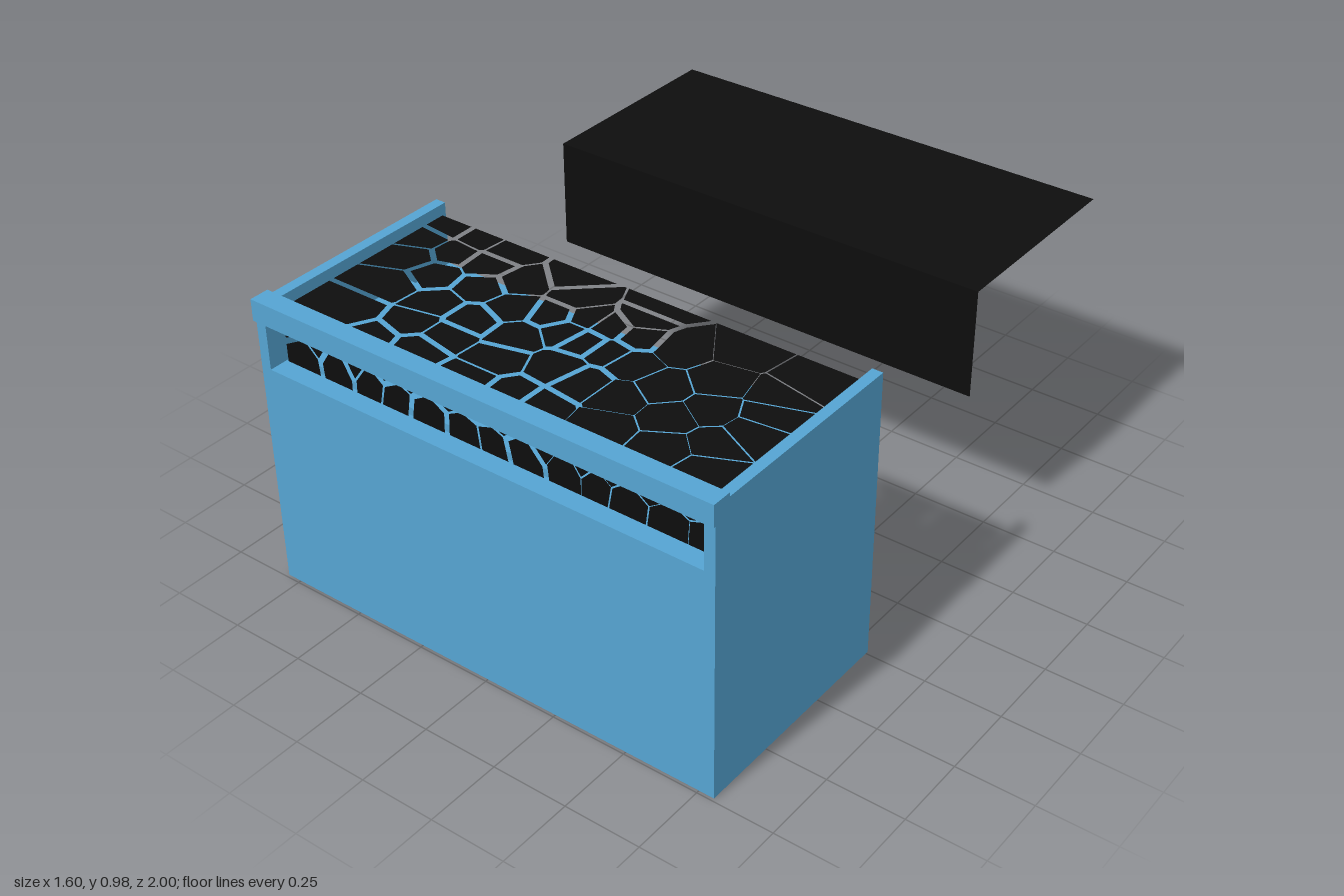
import * as THREE from 'three';

const blue = new THREE.MeshStandardMaterial({ color: 0x55a4d2 });
const black = new THREE.MeshStandardMaterial({ color: 0x0d0d0d, side: THREE.DoubleSide });

// Box given by its minimum and maximum on each axis
function board(name, x0, x1, y0, y1, z0, z1) {
  const mesh = new THREE.Mesh(new THREE.BoxGeometry(x1 - x0, y1 - y0, z1 - z0), blue);
  mesh.position.set((x0 + x1) / 2, (y0 + y1) / 2, (z0 + z1) / 2);
  mesh.name = name;
  return mesh;
}

// Keep the part of a polygon where n . p <= d
function clip(poly, nx, ny, d) {
  const out = [];
  poly.forEach((p, i) => {
    const q = poly[(i + 1) % poly.length];
    const a = p.x * nx + p.y * ny - d, b = q.x * nx + q.y * ny - d;
    if (a <= 0) out.push(p);
    if (a * b < 0) out.push(p.clone().lerp(q, a / (a - b)));
  });
  return out;
}

// Cracked sheet: one cell per seed, with a crack of varying width between cells
function crackedSheet(name, seeds, x0, x1, y0, y1, crack) {
  const group = new THREE.Group();
  group.name = name;
  seeds.forEach((s, i) => {
    let poly = [[x0, y0], [x1, y0], [x1, y1], [x0, y1]].map(p => new THREE.Vector2(...p));
    seeds.forEach((t, j) => {
      if (i === j || poly.length < 3) return;
      const n = t.clone().sub(s), len = n.length();
      n.divideScalar(len);
      const mid = s.clone().add(t).multiplyScalar(0.5);
      poly = clip(poly, n.x, n.y, mid.dot(n) - crack(mid, i + j));
    });
    if (poly.length < 3) return;
    const shard = new THREE.Mesh(new THREE.ShapeGeometry(new THREE.Shape(poly)), black);
    shard.name = 'shard';
    group.add(shard);
  });
  return group;
}

const toPoints = a => a.reduce((r, v, i) => (i % 2 ? r : [...r, new THREE.Vector2(v, a[i + 1])]), []);

// Crack half-width: wide near the middle and left, hairline on the right
function crackWidth(p, k) {
  const wide = p.x < 0.22 ? 0.009 : 0.0025;
  return k % 3 === 0 ? wide * 0.4 : wide;
}

export function createModel() {
  const model = new THREE.Group();
  model.name = 'displayCounter';

  // Cabinet, open at the back
  const cabinet = new THREE.Group();
  cabinet.name = 'cabinet';
  for (const s of [-1, 1]) {
    const side = board('sidePanel', -0.0175, 0.0175, 0, 0.965, 0.24, 0.99);
    side.position.x = s * 0.7825;
    cabinet.add(side);
  }
  cabinet.add(
    board('frontPanel', -0.765, 0.765, 0, 0.755, 0.955, 0.99),
    board('topRail', -0.802, 0.802, 0.91, 0.98, 0.935, 1),
    board('floor', -0.765, 0.765, 0, 0.05, 0.24, 0.955),
    board('middleShelf', -0.765, 0.765, 0.34, 0.37, 0.25, 0.955),
    board('upperShelf', -0.765, 0.765, 0.725, 0.755, 0.24, 0.955),
    board('displayStep', -0.765, 0.765, 0.755, 0.78, 0.42, 0.92)
  );
  model.add(cabinet);

  // Cracked top sheet, seeds as x, z
  const topSeeds = toPoints([
    -0.69, 0.3, -0.57, 0.3, -0.45, 0.31, -0.2, 0.3, 0.1, 0.29, 0.42, 0.33, 0.64, 0.36,
    -0.7, 0.4, -0.58, 0.41, -0.45, 0.4, -0.31, 0.42, -0.12, 0.39, 0.1, 0.37, 0.27, 0.43,
    -0.66, 0.5, -0.54, 0.54, -0.38, 0.51, -0.24, 0.54, -0.12, 0.5, -0.04, 0.46, 0.05, 0.46, 0.14, 0.45,
    0.45, 0.5, 0.62, 0.46, 0.65, 0.55, -0.6, 0.65, -0.43, 0.66, -0.29, 0.66, -0.13, 0.65, -0.04, 0.55,
    0.04, 0.56, 0.12, 0.56, 0.21, 0.57, 0.35, 0.61, 0.51, 0.62, 0.66, 0.64,
    -0.6, 0.82, -0.41, 0.76, -0.29, 0.76, -0.31, 0.86, -0.1, 0.77, 0.06, 0.7, 0.16, 0.72, 0.28, 0.72,
    0.45, 0.71, 0.61, 0.74, -0.45, 0.9, -0.1, 0.89, 0.04, 0.88, 0.14, 0.88, 0.33, 0.85, 0.52, 0.83, 0.66, 0.85
  ]);
  const top = crackedSheet('crackedTop', topSeeds, -0.755, 0.75, 0.265, 0.925, crackWidth);
  top.rotation.x = Math.PI / 2;
  top.position.y = 0.935;
  model.add(top);

  // Cracked front sheet behind the slot
  const frontSeeds = [];
  for (let i = 0; i < 26; i++) {
    frontSeeds.push(new THREE.Vector2(
      -0.73 + i * 0.058 + 0.018 * Math.sin(i * 5.3),
      (i % 2 ? 0.8 : 0.89) + 0.025 * Math.sin(i * 2.7)
    ));
  }
  const front = crackedSheet('crackedFront', frontSeeds, -0.755, 0.755, 0.757, 0.935, crackWidth);
  front.position.z = 0.93;
  model.add(front);

  // Separate whole cover behind the cabinet: a flat top and a hanging front
  const cover = new THREE.Group();
  cover.name = 'wholeCover';
  const coverTop = new THREE.Mesh(new THREE.PlaneGeometry(1.53, 0.685), black);
  coverTop.name = 'coverTop';
  coverTop.rotation.x = -Math.PI / 2;
  coverTop.position.set(0, 0.935, -0.6575);
  const coverFront = new THREE.Mesh(new THREE.PlaneGeometry(1.53, 0.358), black);
  coverFront.name = 'coverFront';
  coverFront.position.set(0, 0.756, -0.315);
  cover.add(coverTop, coverFront);
  model.add(cover);

  return model;
}
